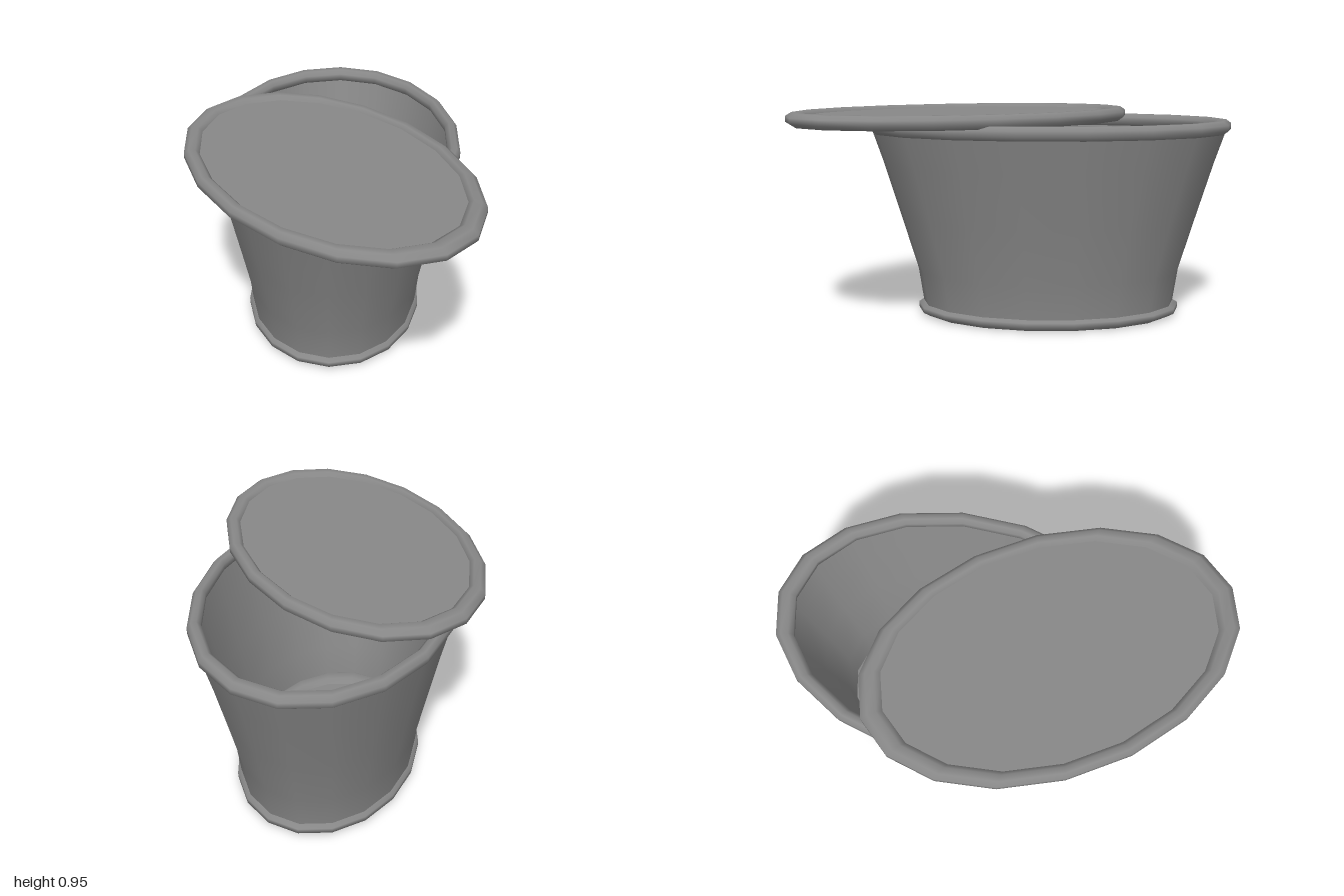
import * as THREE from 'three';
import { mergeVertices } from 'three/addons/utils/BufferGeometryUtils.js';

const SIDES = 18;
const metal = new THREE.MeshStandardMaterial({ color: 0x888888 });
metal.name = 'grey metal';
const sheet = new THREE.MeshStandardMaterial({ color: 0x888888, side: THREE.DoubleSide });
sheet.name = 'grey sheet metal';

// Smooth rolled ring with an octagonal tube
function ring(name, inner, outer, bottom, top) {
  const points = [];
  const k = 1 / Math.cos(Math.PI / 8);
  for (let i = 0; i <= 8; i++) {
    const a = ((i % 8) + 0.5) * Math.PI / 4;
    points.push(new THREE.Vector2(
      (inner + outer) / 2 + Math.cos(a) * k * (outer - inner) / 2,
      (bottom + top) / 2 + Math.sin(a) * k * (top - bottom) / 2));
  }
  let geometry = new THREE.LatheGeometry(points, SIDES);
  geometry.deleteAttribute('uv');
  geometry.deleteAttribute('normal');
  geometry = mergeVertices(geometry, 1e-4);
  geometry.computeVertexNormals();
  const mesh = new THREE.Mesh(geometry, metal);
  mesh.name = name;
  return mesh;
}

// Flat plate filling a ring
function plate(name, radius, bottom, top) {
  const geometry = new THREE.CylinderGeometry(radius, radius, top - bottom, SIDES);
  geometry.translate(0, (bottom + top) / 2, 0);
  const mesh = new THREE.Mesh(geometry, metal);
  mesh.name = name;
  return mesh;
}

export function createModel() {
  const model = new THREE.Group();
  model.name = 'oval tub with lid';

  // Oval tub: thin flared wall, rolled rim, foot ring and floor
  const tub = new THREE.Group();
  tub.name = 'tub';
  tub.position.set(0.018, 0, -0.16);
  tub.scale.z = 1.453;
  const profile = [[0.402, 0.03], [0.405, 0.06], [0.42, 0.2], [0.473, 0.45], [0.527, 0.7], [0.563, 0.85], [0.565, 0.87]]
    .map(([r, y]) => new THREE.Vector2(r, y));
  const wall = new THREE.Mesh(new THREE.LatheGeometry(profile, SIDES), sheet);
  wall.name = 'wall';
  tub.add(wall,
    ring('rim', 0.523, 0.578, 0.84, 0.9),
    ring('footRing', 0.344, 0.42, 0, 0.054),
    plate('floor', 0.36, 0.018, 0.036));
  model.add(tub);

  // Oval lid, turned and slid forward on the rim
  const lid = new THREE.Group();
  lid.name = 'lid';
  lid.position.set(0, 0, 0.228);
  lid.rotation.y = 0.592;
  lid.scale.z = 1.557;
  lid.add(ring('lidRim', 0.483, 0.547, 0.886, 0.946),
    plate('lidPanel', 0.5, 0.902, 0.93));
  model.add(lid);
  return model;
}
